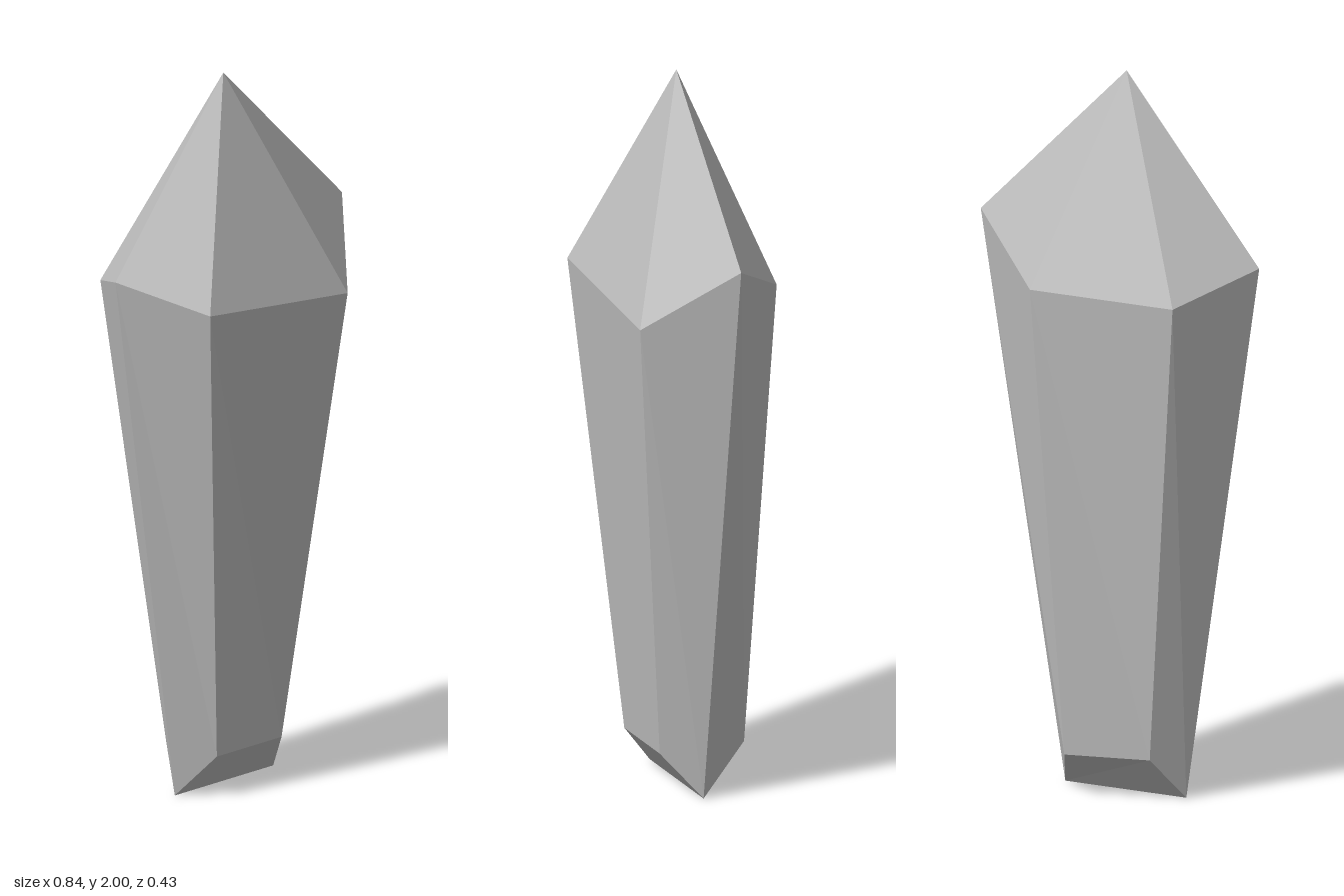
import * as THREE from 'three';

// Corners of the two six-sided rings, running left, front, right, back
const apex = [-0.02, 2, 0];
const shoulder = [
  [-0.42, 1.5, 0], [-0.27, 1.42, 0.21], [0.235, 1.37, 0.215],
  [0.42, 1.56, 0], [0.16, 1.42, -0.215], [-0.27, 1.42, -0.215],
];
const base = [
  [-0.2, 0, 0], [-0.14, 0.12, 0.1], [0.1, 0.12, 0.1],
  [0.165, 0, 0], [0.09, 0.12, -0.15], [-0.14, 0.12, -0.097],
];

// Builds one faceted mesh from a list of triangles
function facets(name, triangles, material) {
  const geometry = new THREE.BufferGeometry();
  geometry.setAttribute('position', new THREE.Float32BufferAttribute(triangles.flat(2), 3));
  geometry.computeVertexNormals();
  const mesh = new THREE.Mesh(geometry, material);
  mesh.name = name;
  return mesh;
}

export function createModel() {
  const stone = new THREE.MeshStandardMaterial({ color: 0xbcbcbc });
  stone.name = 'grey crystal';

  const tip = [];
  const shaft = [];
  for (let i = 0; i < 6; i++) {
    const j = (i + 1) % 6;
    // Pointed crown
    tip.push([shoulder[i], shoulder[j], apex]);
    // Tapering sides, each folded along a diagonal
    shaft.push([shoulder[i], base[i], base[j]], [shoulder[i], base[j], shoulder[j]]);
  }

  // Wedge-shaped underside meeting in a straight ridge
  const [left, frontLeft, frontRight, right, backRight, backLeft] = base;
  const foot = [
    [frontLeft, left, right], [frontLeft, right, frontRight],
    [right, left, backLeft], [right, backLeft, backRight],
  ];

  const group = new THREE.Group();
  group.name = 'crystal shard';
  group.add(
    facets('crystalTip', tip, stone),
    facets('crystalShaft', shaft, stone),
    facets('crystalFoot', foot, stone),
  );
  return group;
}
